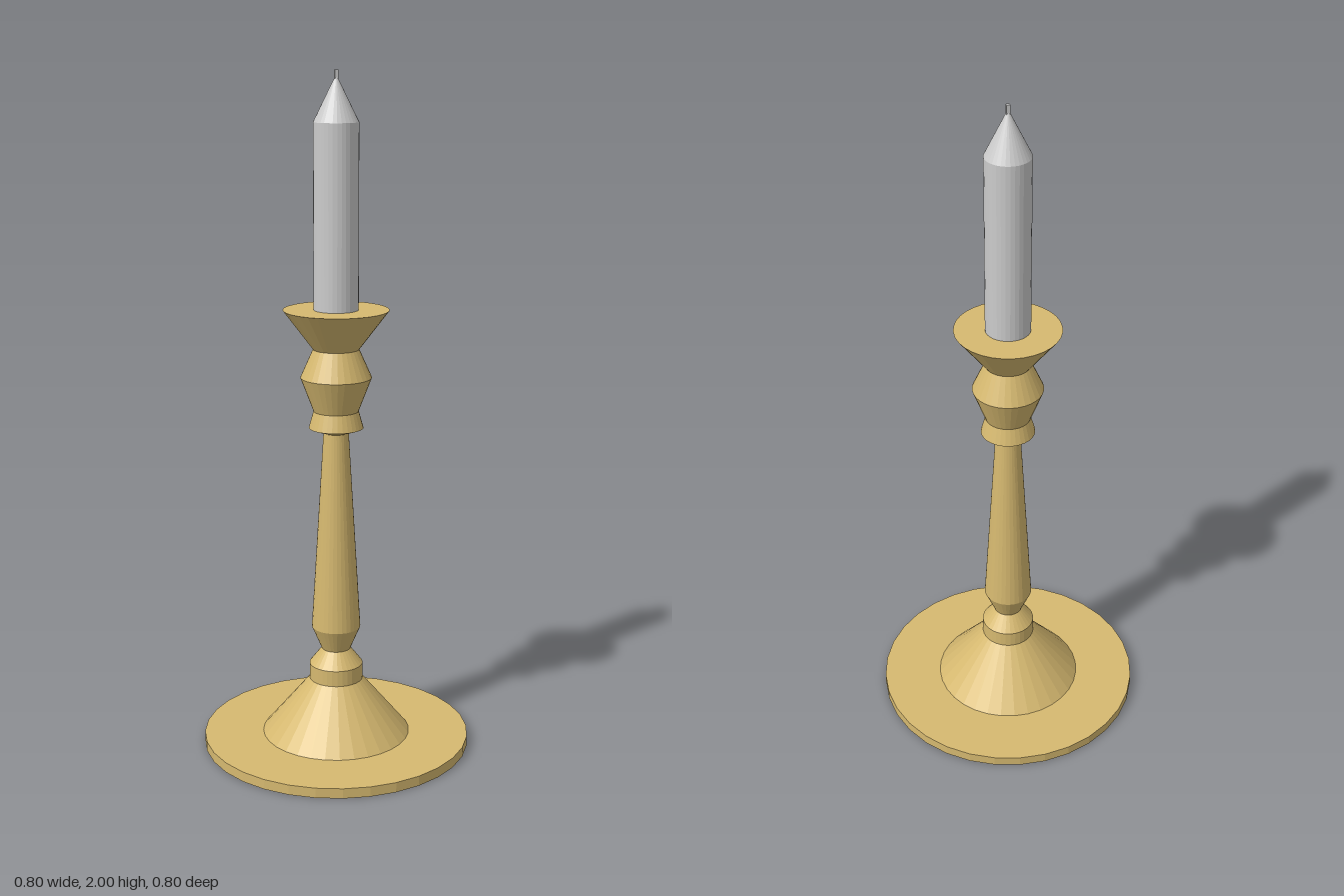
import * as THREE from 'three';

const SIDES = 32;

// Turned part from [radius, height] pairs, bottom to top
function turned(name, profile, material) {
  const points = profile.map(([r, y]) => new THREE.Vector2(r, y));
  const mesh = new THREE.Mesh(new THREE.LatheGeometry(points, SIDES), material);
  mesh.name = name;
  return mesh;
}

export function createModel() {
  const group = new THREE.Group();
  group.name = 'candlestick';
  const brass = new THREE.MeshStandardMaterial({ color: 0xd6b970, flatShading: true });
  const wax = new THREE.MeshStandardMaterial({ color: 0xcccccc, flatShading: true });

  // Flat foot with the conical rise and collar
  group.add(turned('base', [
    [0, 0], [0.4, 0], [0.4, 0.03], [0.222, 0.03],
    [0.08, 0.2], [0.08, 0.248], [0.043, 0.295],
  ], brass));

  // Tapered stem
  group.add(turned('stem', [[0.043, 0.295], [0.073, 0.365], [0.037, 0.965]], brass));

  // Ring, bulb and flared drip cup
  group.add(turned('holder', [
    [0.037, 0.965], [0.08, 0.98], [0.066, 1.03], [0.104, 1.13],
    [0.067, 1.213], [0.154, 1.328], [0, 1.328],
  ], brass));

  // Candle with pointed top
  group.add(turned('candle', [[0.065, 1.328], [0.065, 1.857], [0.004, 1.98], [0, 1.98]], wax));

  // Square wick
  const wick = new THREE.Mesh(new THREE.BoxGeometry(0.01, 0.04, 0.01), wax);
  wick.name = 'wick';
  wick.position.y = 1.98;
  group.add(wick);

  return group;
}
